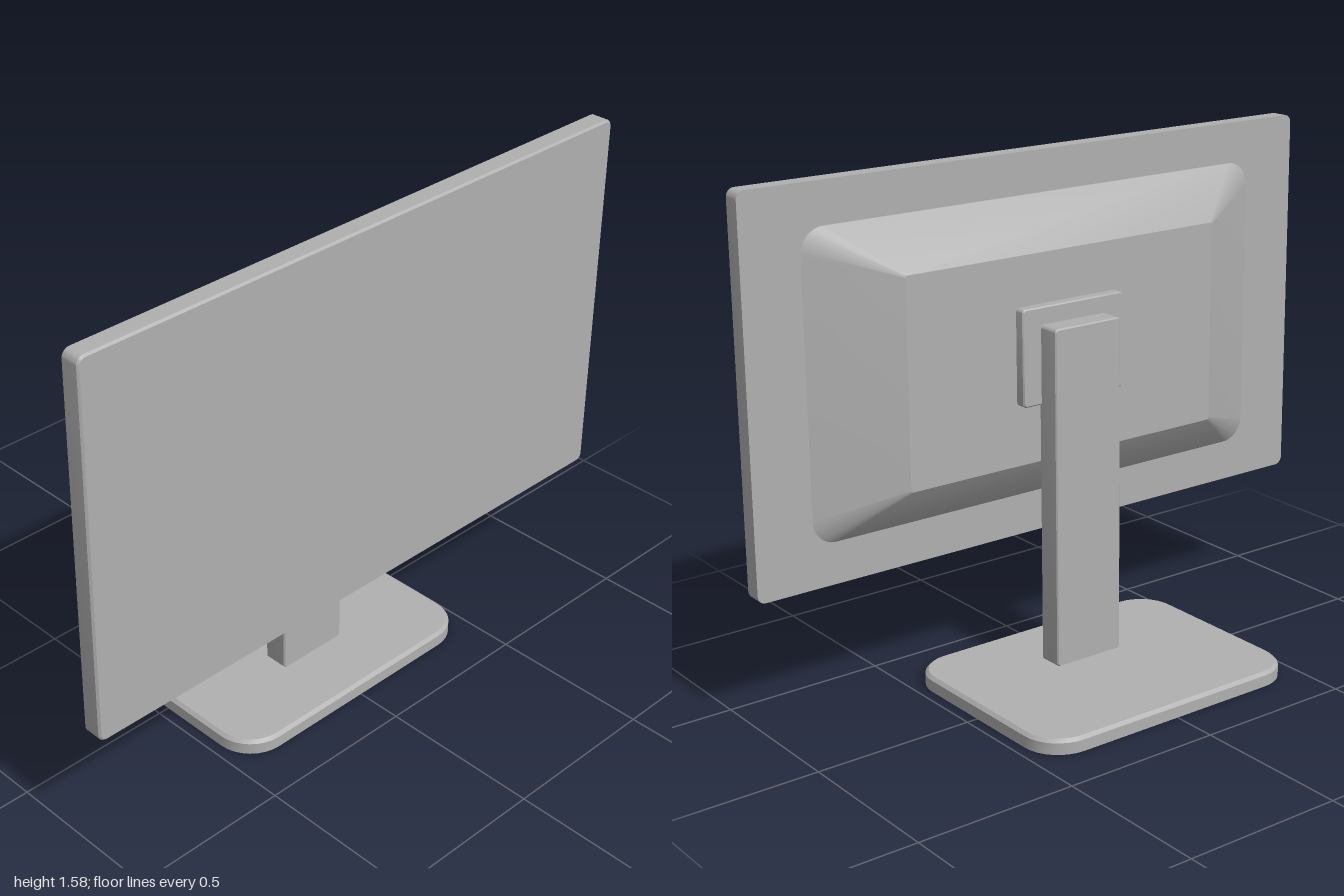
import * as THREE from 'three';
import { toCreasedNormals } from 'three/addons/utils/BufferGeometryUtils.js';

const CORNER_STEPS = 8;

// Outline of a rounded rectangle, counter-clockwise, at depth z
function ring({ w, h, r, z }) {
  const points = [];
  for (let c = 0; c < 4; c++) {
    const sx = c === 0 || c === 3 ? 1 : -1;
    const sy = c < 2 ? 1 : -1;
    for (let i = 0; i <= CORNER_STEPS; i++) {
      const a = (c + i / CORNER_STEPS) * Math.PI / 2;
      points.push([sx * (w / 2 - r) + r * Math.cos(a), sy * (h / 2 - r) + r * Math.sin(a), z]);
    }
  }
  return points;
}

// Closed solid through rounded-rectangle sections, ordered from low z to high z
function loft(sections) {
  const rings = sections.map(ring);
  const n = rings[0].length;
  const index = [];
  for (let k = 0; k < rings.length - 1; k++) {
    for (let i = 0; i < n; i++) {
      const a = k * n + i, b = k * n + (i + 1) % n;
      index.push(a, b, b + n, a, b + n, a + n);
    }
  }
  const last = (rings.length - 1) * n;
  for (let i = 1; i < n - 1; i++) {
    index.push(0, i + 1, i);
    index.push(last, last + i, last + i + 1);
  }
  const geometry = new THREE.BufferGeometry();
  geometry.setAttribute('position', new THREE.Float32BufferAttribute(rings.flat(2), 3));
  geometry.setIndex(index);
  return toCreasedNormals(geometry, 0.35);
}

// Rounded slab from z0 to z1 with chamfered rims at either end
function slab(w, h, r, z0, z1, backBevel, frontBevel) {
  const inset = (b, z) => ({ w: w - 2 * b, h: h - 2 * b, r: r - b, z });
  const sections = [];
  if (backBevel) sections.push(inset(backBevel, z0));
  sections.push(inset(0, z0 + backBevel), inset(0, z1 - frontBevel));
  if (frontBevel) sections.push(inset(frontBevel, z1));
  return loft(sections);
}

export function createModel() {
  const group = new THREE.Group();
  group.name = 'monitor';
  const grey = new THREE.MeshStandardMaterial({ color: 0xb0b0b0 });
  grey.name = 'grey plastic';

  const add = (name, geometry, y = 0) => {
    const mesh = new THREE.Mesh(geometry, grey);
    mesh.name = name;
    mesh.position.y = y;
    group.add(mesh);
  };

  // Display panel with a thin front chamfer
  add('displayPanel', slab(2, 1.18, 0.025, 0.295, 0.355, 0, 0.006), 0.99);

  // Tapered housing behind the panel
  add('rearHousing', loft([
    { w: 1.12, h: 0.635, r: 0.006, z: 0.168 },
    { w: 1.63, h: 0.925, r: 0.075, z: 0.296 },
  ]), 0.991);

  // Mounting plate and upright post
  add('mountPlate', slab(0.37, 0.296, 0.013, 0.135, 0.17, 0.004, 0), 1.008);
  add('post', slab(0.24, 1.06, 0.013, 0.065, 0.145, 0.004, 0.004), 0.572);

  // Foot, lofted upwards
  add('base', slab(0.93, 0.71, 0.12, 0, 0.046, 0, 0.01).rotateX(-Math.PI / 2));

  return group;
}
